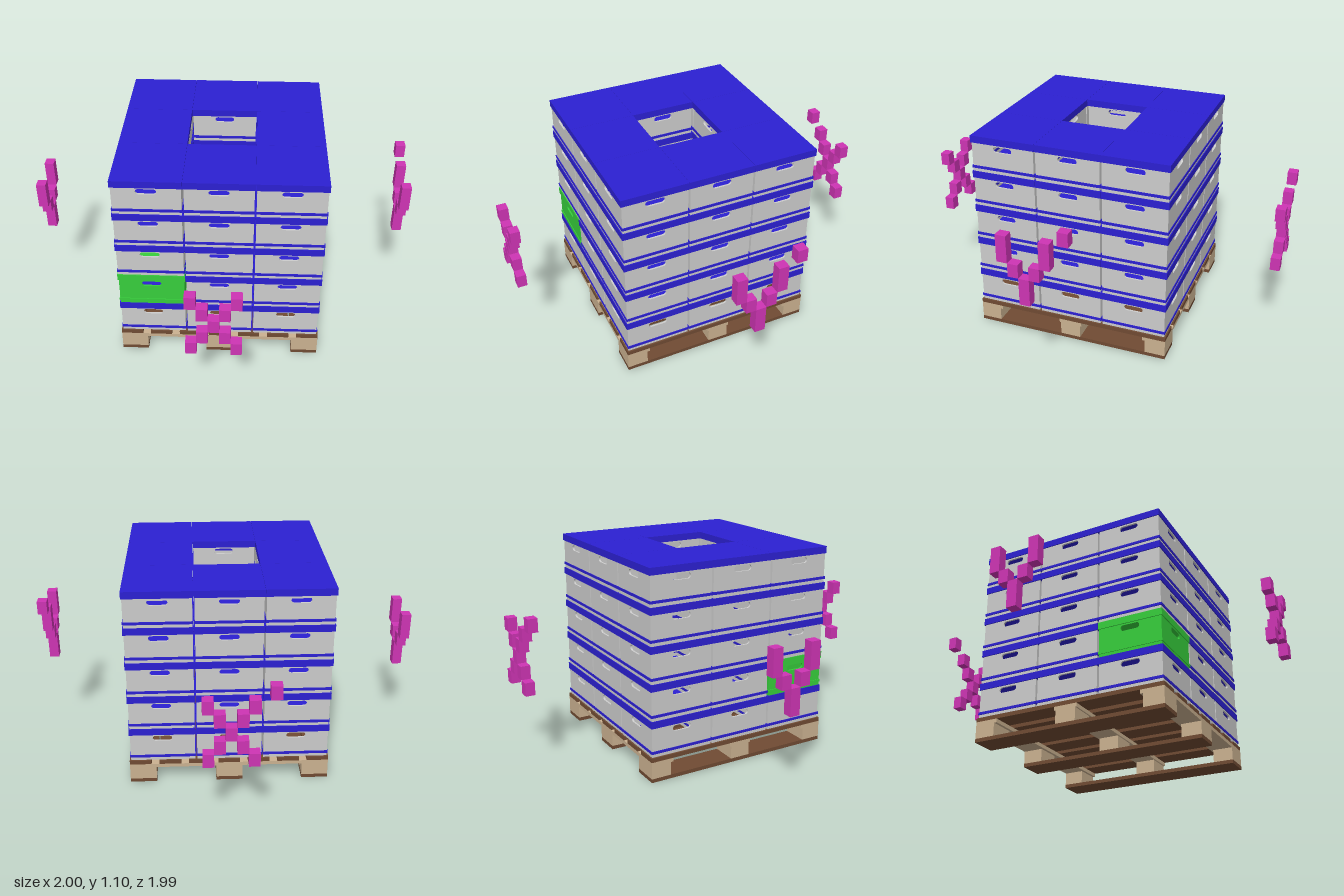
import * as THREE from 'three';

const mat = (name, color) => Object.assign(new THREE.MeshStandardMaterial({ color }), { name });

export function createModel() {
  const grey = mat('crateGrey', 0xcccccc);
  const blue = mat('lidBlue', 0x2c20d2);
  const green = mat('crateGreen', 0x37ce3c);
  const tan = mat('lightWood', 0xcab190);
  const brown = mat('darkWood', 0x704b33);
  const magenta = mat('markerMagenta', 0xce34b4);

  const model = new THREE.Group();
  model.name = 'palletLoad';
  // the whole load stands slightly turned
  const load = new THREE.Group();
  load.name = 'turnedLoad';
  load.position.set(0.008, 0, 0.02);
  load.rotation.y = -0.019;
  model.add(load);

  function add(parent, name, geo, material, x, y, z) {
    const mesh = new THREE.Mesh(geo, material);
    mesh.name = name;
    mesh.position.set(x, y, z);
    parent.add(mesh);
    return mesh;
  }

  // ---- pallet: runners, blocks, stringers, deck boards
  const pallet = new THREE.Group();
  pallet.name = 'pallet';
  load.add(pallet);
  const runner = new THREE.BoxGeometry(0.14, 0.02, 1.055);
  const block = new THREE.BoxGeometry(0.14, 0.07, 0.11);
  const stringer = new THREE.BoxGeometry(1.055, 0.02, 0.125);
  const board = new THREE.BoxGeometry(0.115, 0.022, 1.055);
  for (const i of [-1, 0, 1]) {
    add(pallet, 'runner', runner, brown, i * 0.4575, 0.01, 0);
    add(pallet, 'stringer', stringer, tan, 0, 0.1, i * 0.465);
    for (const k of [-1, 0, 1]) add(pallet, 'block', block, tan, i * 0.4575, 0.055, k * 0.4725);
  }
  for (let i = -3; i <= 3; i++) add(pallet, 'deckBoard', board, brown, i * 0.1567, 0.121, 0);

  // ---- crates: four walls with handle holes, a thin band and a lid
  const PITCH = 0.35, BODY = 0.339, LAYER = 0.193, WALL = 0.01, BASE = 0.133;

  // wall panel, its outer face on z = BODY / 2
  const panel = new THREE.Shape();
  const half = BODY / 2;
  panel.moveTo(-half, 0).lineTo(half, 0).lineTo(half, 0.157).lineTo(-half, 0.157).closePath();
  const handle = new THREE.Path();
  handle.absarc(-0.036, 0.133, 0.015, Math.PI / 2, Math.PI * 1.5, false);
  handle.absarc(0.036, 0.133, 0.015, -Math.PI / 2, Math.PI / 2, false);
  handle.closePath();
  panel.holes.push(handle);
  const wall = new THREE.ExtrudeGeometry(panel, { depth: WALL, bevelEnabled: false, curveSegments: 6 });
  wall.translate(0, 0, half - WALL);

  // square frame for the thin band
  const square = (shape, s) =>
    shape.moveTo(-s, -s).lineTo(s, -s).lineTo(s, s).lineTo(-s, s).closePath();
  const frame = square(new THREE.Shape(), half + 0.004);
  frame.holes.push(square(new THREE.Path(), half - WALL - 0.001));
  const band = new THREE.ExtrudeGeometry(frame, { depth: 0.014, bevelEnabled: false });
  band.rotateX(-Math.PI / 2);
  const lid = new THREE.BoxGeometry(PITCH - 0.001, 0.037, PITCH - 0.001);

  for (let layer = 0; layer < 5; layer++) {
    for (let i = -1; i <= 1; i++) {
      for (let k = -1; k <= 1; k++) {
        if (i === 0 && k === 0) continue; // open shaft in the middle
        const special = layer === 1 && i === -1 && k === 1;
        const crate = new THREE.Group();
        crate.name = special ? 'greenCrate' : 'crate';
        crate.position.set(i * PITCH, BASE + layer * LAYER, k * PITCH);
        for (let s = 0; s < 4; s++) {
          add(crate, 'wall', wall, special ? green : grey, 0, 0, 0).rotation.y = s * Math.PI / 2;
        }
        add(crate, 'band', band, special ? green : blue, 0, 0.018, 0);
        add(crate, 'lid', lid, special ? green : blue, 0, 0.1745, 0);
        load.add(crate);
      }
    }
  }

  // ---- floating direction markers: [column, first row, row count]
  const CW = 0.0535, CH = 0.0705;
  const crossBlocks = [[-2, 0, 1], [2, 0, 1], [-1, 1, 1], [1, 1, 1], [0, 2, 1],
    [-1, 3, 1], [1, 3, 1], [-2, 4, 1], [2, 4, 1]];
  const forkBlocks = [[0, 0, 2], [-1, 2, 1], [1, 2, 1], [-2, 3, 2], [2, 3, 2]];
  const tick = [3.75, 5, 1];

  function marker(name, blocks, x, y, z, turn) {
    const group = new THREE.Group();
    group.name = name;
    group.position.set(x, y, z);
    group.rotation.y = turn;
    for (const [c, r, n] of blocks) {
      add(group, 'markerBlock', new THREE.BoxGeometry(CW, CH * n, 0.05), magenta,
        c * CW, (r + n / 2) * CH, 0);
    }
    load.add(group);
  }
  marker('frontMarker', crossBlocks, -0.008, 0.422, 0.941, 0);
  marker('backMarker', [...crossBlocks, tick], 0.013, 0.422, -0.99, Math.PI);
  marker('leftMarker', [...forkBlocks, tick], 0.962, 0.492, 0.024, Math.PI / 2);
  marker('rightMarker', forkBlocks, -0.978, 0.427, -0.02, -Math.PI / 2);

  return model;
}
